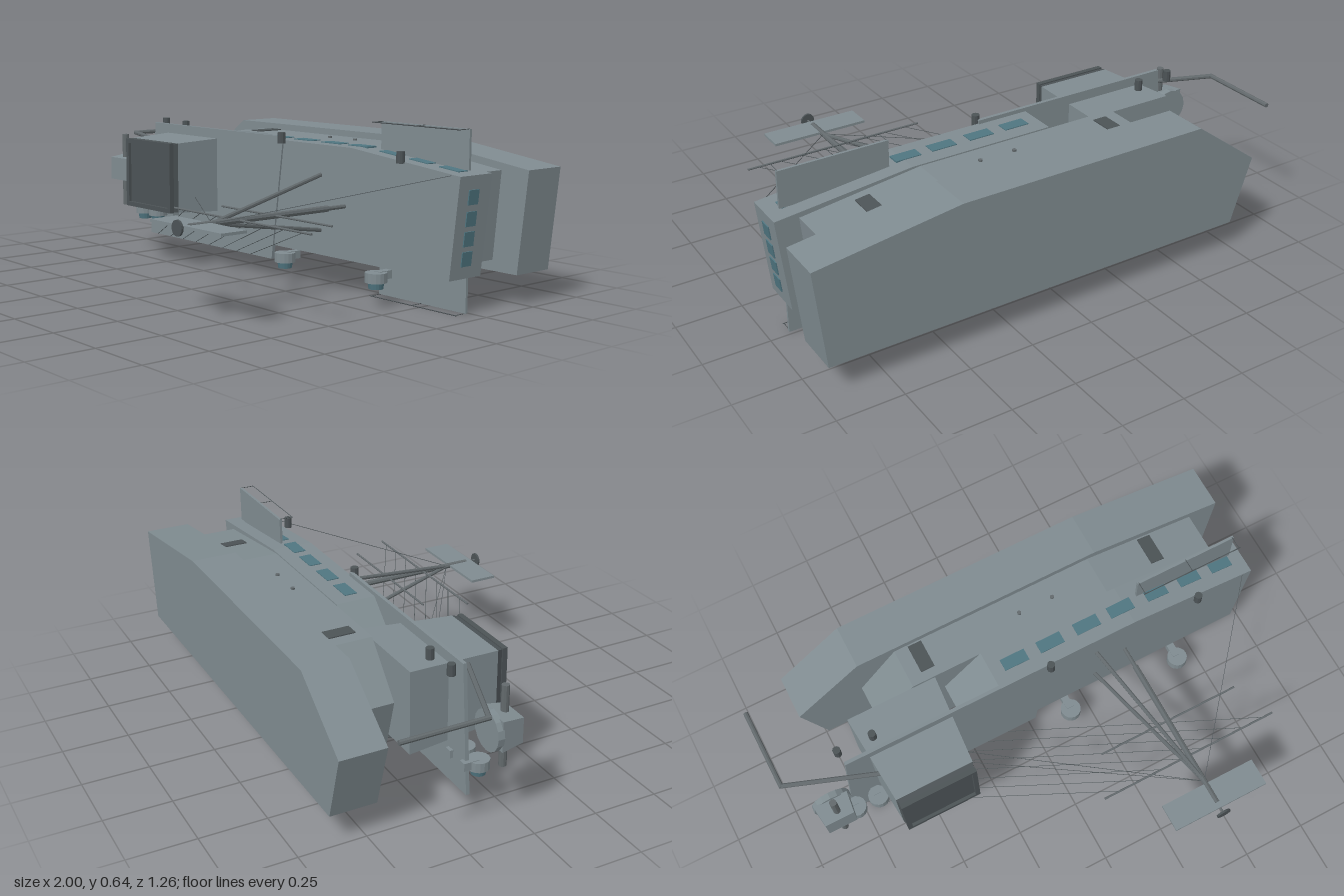
import * as THREE from 'three';

export function createModel() {
  const model = new THREE.Group();
  const mat = (color) => new THREE.MeshStandardMaterial({ color, flatShading: true, side: THREE.DoubleSide });
  const grey = mat(0x7f8b90), dark = mat(0x4c5356), glass = mat(0x4f7580), steel = mat(0x62696c);

  const add = (name, geo, m, x = 0, y = 0, z = 0) => {
    const mesh = new THREE.Mesh(geo, m);
    mesh.name = name;
    mesh.position.set(x, y, z);
    model.add(mesh);
    return mesh;
  };
  const box = (name, m, w, h, d, x, y, z) => add(name, new THREE.BoxGeometry(w, h, d), m, x, y, z);

  // Outline in x/y carried along z
  const prism = (name, pts, z0, z1, m = grey) => {
    const shape = new THREE.Shape(pts.map(([x, y]) => new THREE.Vector2(x, y)));
    return add(name, new THREE.ExtrudeGeometry(shape, { depth: z1 - z0, bevelEnabled: false }), m, 0, 0, z0);
  };

  // Round bar between two points
  const rod = (name, a, b, r, m = steel, r2 = r, sides = 8) => {
    const p = new THREE.Vector3(...a), q = new THREE.Vector3(...b);
    const d = q.clone().sub(p);
    const mesh = add(name, new THREE.CylinderGeometry(r2, r, d.length(), sides), m);
    mesh.position.copy(p).add(q).multiplyScalar(0.5);
    mesh.quaternion.setFromUnitVectors(new THREE.Vector3(0, 1, 0), d.normalize());
    return mesh;
  };

  // Box whose x/y rectangle changes from the back to the front: [x0, x1, y0, y1]
  const taperBox = (name, back, front, z0, z1, m) => {
    const geo = new THREE.BoxGeometry(1, 1, 1);
    const p = geo.attributes.position;
    for (let i = 0; i < p.count; i++) {
      const r = p.getZ(i) > 0 ? front : back;
      p.setXYZ(i, p.getX(i) > 0 ? r[1] : r[0], p.getY(i) > 0 ? r[3] : r[2], p.getZ(i) > 0 ? z1 : z0);
    }
    geo.computeVertexNormals();
    return add(name, geo, m);
  };

  // Stacked hull, lower deck and cabin deck
  prism('hull', [[-0.74, 0.115], [0.96, 0.115], [1, 0.49], [0.45, 0.565], [-0.55, 0.565], [-0.82, 0.37]], -0.63, -0.455);
  prism('lowerDeck', [[-0.5, 0.155], [0.85, 0.155], [0.88, 0.48], [0.42, 0.54], [-0.4, 0.54], [-0.56, 0.36]], -0.455, -0.295);
  prism('cabinDeck', [[-0.22, 0.13], [0.93, 0.13], [0.97, 0.49], [0.45, 0.545], [-0.12, 0.545], [-0.28, 0.4]], -0.295, -0.135);
  prism('flightPlate', [[-0.79, 0.075], [0.02, 0.075], [0.085, 0.56], [-0.75, 0.56]], -0.142, -0.128);

  // Cabin windows along both sides and the sloped shoulder
  for (const x of [-0.02, 0.13, 0.285, 0.43, 0.585, 0.73, 0.87]) {
    const sloped = x > 0.5;
    const top = box('sideWindow', glass, sloped ? 0.09 : 0.1, 0.006, 0.048, x, sloped ? 0.545 - (x - 0.45) * 0.1058 : 0.545, -0.212);
    if (sloped) top.rotation.z = -0.1054;
    box('sideWindow', glass, 0.09, 0.006, 0.048, x, 0.13, -0.212);
  }
  // End windows
  for (const y of [0.2, 0.27, 0.34, 0.415]) {
    box('endWindow', glass, 0.008, 0.052, 0.05, 0.93 + (y - 0.13) * 0.111, y, -0.21).rotation.z = -0.11;
  }

  // Side hatches, lower hatch and boarding ladder
  for (const x of [-0.32, 0.665]) {
    const y = x > 0.42 ? 0.54 - (x - 0.42) * 0.13 : 0.54;
    box('sideHatch', dark, 0.055, 0.008, 0.115, x, y, -0.39).rotation.z = x > 0.42 ? -0.13 : 0;
  }
  for (const x of [0.085, 0.225]) add('deckStud', new THREE.CylinderGeometry(0.008, 0.008, 0.01, 8), steel, x, 0.542, -0.375);
  box('lowerHatch', dark, 0.09, 0.006, 0.11, 0.19, 0.113, -0.535);
  for (const x of [-0.37, -0.33]) rod('ladderRail', [x, 0.1, -0.59], [x, 0.1, -0.15], 0.002, dark, 0.002, 4);
  for (let i = 0; i < 10; i++) box('ladderRung', dark, 0.05, 0.003, 0.004, -0.35, 0.1, -0.57 + i * 0.045);

  // Side fins with edge rails
  for (const [y0, y1, edge] of [[0.5, 0.64, 0.64], [0.004, 0.14, 0.004]]) {
    box('sideFin', grey, 0.415, y1 - y0, 0.01, 0.717, (y0 + y1) / 2, -0.234);
    rod('finRail', [0.51, edge, -0.182], [0.925, edge, -0.182], 0.002, dark, 0.002, 4);
    for (let i = 0; i < 3; i++) rod('railStrut', [0.515 + i * 0.202, edge, -0.234], [0.515 + i * 0.202, edge, -0.182], 0.0015, dark, 0.0015, 4);
  }

  // Tower with its dark framed end
  taperBox('tower', [-0.67, -0.31, 0.215, 0.53], [-0.645, -0.335, 0.233, 0.512], -0.295, 0.06, grey);
  taperBox('towerCap', [-0.645, -0.335, 0.233, 0.512], [-0.635, -0.345, 0.238, 0.507], 0.06, 0.088, dark);
  for (const s of [-1, 1]) {
    box('capFrame', dark, 0.018, 0.28, 0.02, -0.49 + s * 0.143, 0.373, 0.09);
    box('capFrame', dark, 0.29, 0.018, 0.02, -0.49, 0.373 + s * 0.131, 0.09);
  }
  box('towerFoot', grey, 0.03, 0.035, 0.03, -0.49, 0.215, -0.03);

  // Mast, braces, yards and signal board
  const mx = 0.42, my = 0.328;
  rod('mast', [mx, my, -0.14], [mx, my, 0.2], 0.008);
  rod('mast', [mx, my, -0.05], [mx, my, 0.575], 0.012, steel, 0.011);
  for (const s of [-1, 1]) rod('mastBrace', [0.29, my + s * 0.105, -0.14], [mx, my, 0.48], 0.008);
  rod('yard', [0.13, my, 0.205], [0.715, my, 0.205], 0.004);
  rod('yard', [0.055, my, 0.365], [0.79, my, 0.365], 0.004);
  box('signalBoard', grey, 0.39, 0.01, 0.107, 0.425, my, 0.545);
  rod('mastDisc', [mx, my, 0.619], [mx, my, 0.627], 0.028, dark, 0.028, 16);
  rod('discStem', [mx, my, 0.57], [mx, my, 0.62], 0.004);

  // Rigging
  const wire = (a, b) => rod('rigging', a, b, 0.0013, dark, 0.0013, 4);
  for (let i = 0; i < 8; i++) {
    const x = 0.12 + i * 0.09;
    wire([x, my, 0.365], [x - 0.86, 0.075, -0.13]);
  }
  wire([mx, my, 0.48], [0.93, 0.49, -0.135]);
  wire([mx, my, 0.48], [-0.33, 0.29, -0.02]);
  wire([mx, my, 0.48], [-0.33, 0.14, -0.13]);

  // Lower turrets: drum with a narrower glass lens
  for (const [x, y, z] of [[-0.78, 0.145, -0.09], [-0.685, 0.145, -0.09], [0.155, 0.068, -0.08], [0.645, 0.068, -0.075]]) {
    add('turretDrum', new THREE.CylinderGeometry(0.04, 0.04, 0.036, 16), grey, x, y + 0.04, z);
    add('turretLens', new THREE.CylinderGeometry(0.03, 0.026, 0.026, 16), glass, x, y + 0.012, z);
    box('turretMount', grey, 0.03, 0.03, 0.06, x, y + 0.045, z - 0.035);
  }

  // Upper posts
  for (const [x, y, z] of [[-0.755, 0.555, -0.19], [-0.615, 0.55, -0.19], [0.085, 0.555, -0.12], [0.715, 0.535, -0.115]]) {
    add('post', new THREE.CylinderGeometry(0.015, 0.015, 0.042, 10), dark, x, y, z);
  }

  // Sensor pod at the end
  rod('podDisc', [-0.853, 0.355, -0.11], [-0.853, 0.355, -0.085], 0.075, grey, 0.075, 16);
  taperBox('podBox', [-0.922, -0.787, 0.3, 0.415], [-0.912, -0.797, 0.31, 0.405], -0.09, -0.005, grey);
  rod('podBar', [-0.85, 0.2, -0.04], [-0.85, 0.507, -0.04], 0.014, steel, 0.014, 10);

  // Bent crane arm
  rod('craneArm', [-0.64, 0.495, -0.06], [-0.99, 0.495, -0.19], 0.009);
  rod('craneArm', [-0.99, 0.495, -0.185], [-0.99, 0.495, -0.51], 0.009);

  return model;
}
